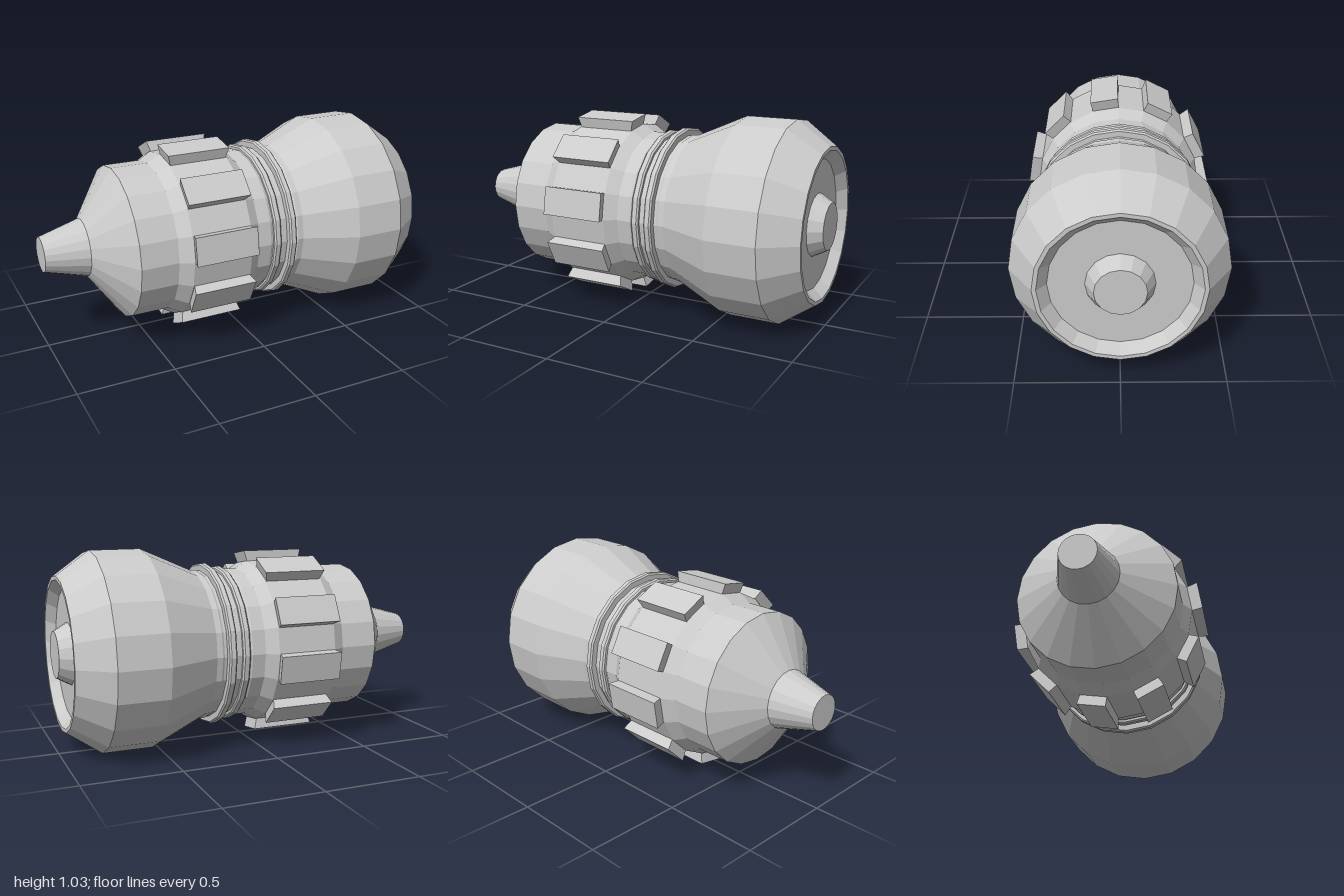
import * as THREE from 'three';

const AXIS_Y = 0.515;
const SIDES = 20;
const material = new THREE.MeshStandardMaterial({ color: 0xcccccc, flatShading: true });

// Surface of revolution about the x axis; profile is [x, radius], from -x to +x
function turned(name, profile, sides = SIDES) {
  const points = profile.map(([x, r]) => new THREE.Vector2(r, x));
  const mesh = new THREE.Mesh(new THREE.LatheGeometry(points, sides), material);
  mesh.geometry.rotateZ(-Math.PI / 2);
  mesh.name = name;
  return mesh;
}

// Raised band with bevelled edges
function ring(name, x, radius) {
  return turned(name, [
    [x - 0.02, 0.38], [x - 0.02, radius - 0.008], [x - 0.012, radius],
    [x + 0.012, radius], [x + 0.02, radius - 0.008], [x + 0.02, 0.38],
  ]);
}

// Grip pad: wide outer face, tapering in towards the body
function gripPadGeometry() {
  const geometry = new THREE.BoxGeometry(0.335, 0.145, 0.055);
  const p = geometry.attributes.position;
  for (let i = 0; i < p.count; i++) {
    if (p.getZ(i) < 0) p.setXY(i, p.getX(i) * 0.91, p.getY(i) * 0.95);
  }
  return geometry.translate(-0.197, 0, 0.4535);
}

export function createModel() {
  const group = new THREE.Group();
  const model = new THREE.Group();
  model.name = 'canister';
  model.position.y = AXIS_Y;
  group.add(model);

  // Narrow nozzle
  model.add(turned('nozzle', [[-1, 0], [-1, 0.09], [-0.785, 0.15]]));

  // Shoulder, grip section and neck
  model.add(turned('body', [
    [-0.785, 0.15], [-0.615, 0.395], [-0.42, 0.395], [-0.355, 0.432],
    [-0.04, 0.432], [0.02, 0.395], [0.09, 0.395], [0.1, 0.39], [0.24, 0.39], [0.25, 0.395], [0.28, 0.395],
  ]));

  // Bulbous head with a recessed end
  model.add(turned('head', [
    [0.28, 0.395], [0.55, 0.515], [0.81, 0.515], [0.98, 0.395],
    [0.98, 0.375], [0.93, 0.33], [0.93, 0],
  ]));

  // Tapered button in the recess
  model.add(turned('endButton', [[0.93, 0.16], [1, 0.12], [1, 0]], 16));

  // Neck rings
  model.add(ring('smallRing', 0.125, 0.41), ring('largeRing', 0.205, 0.428));

  // Ten grip pads, each on a facet of the body
  const pads = new THREE.Group();
  pads.name = 'gripPads';
  const padGeometry = gripPadGeometry();
  for (let i = 0; i < 10; i++) {
    const pad = new THREE.Mesh(padGeometry, material);
    pad.name = 'gripPad';
    pad.rotation.x = -THREE.MathUtils.degToRad(9 + i * 36);
    pads.add(pad);
  }
  model.add(pads);
  return group;
}
